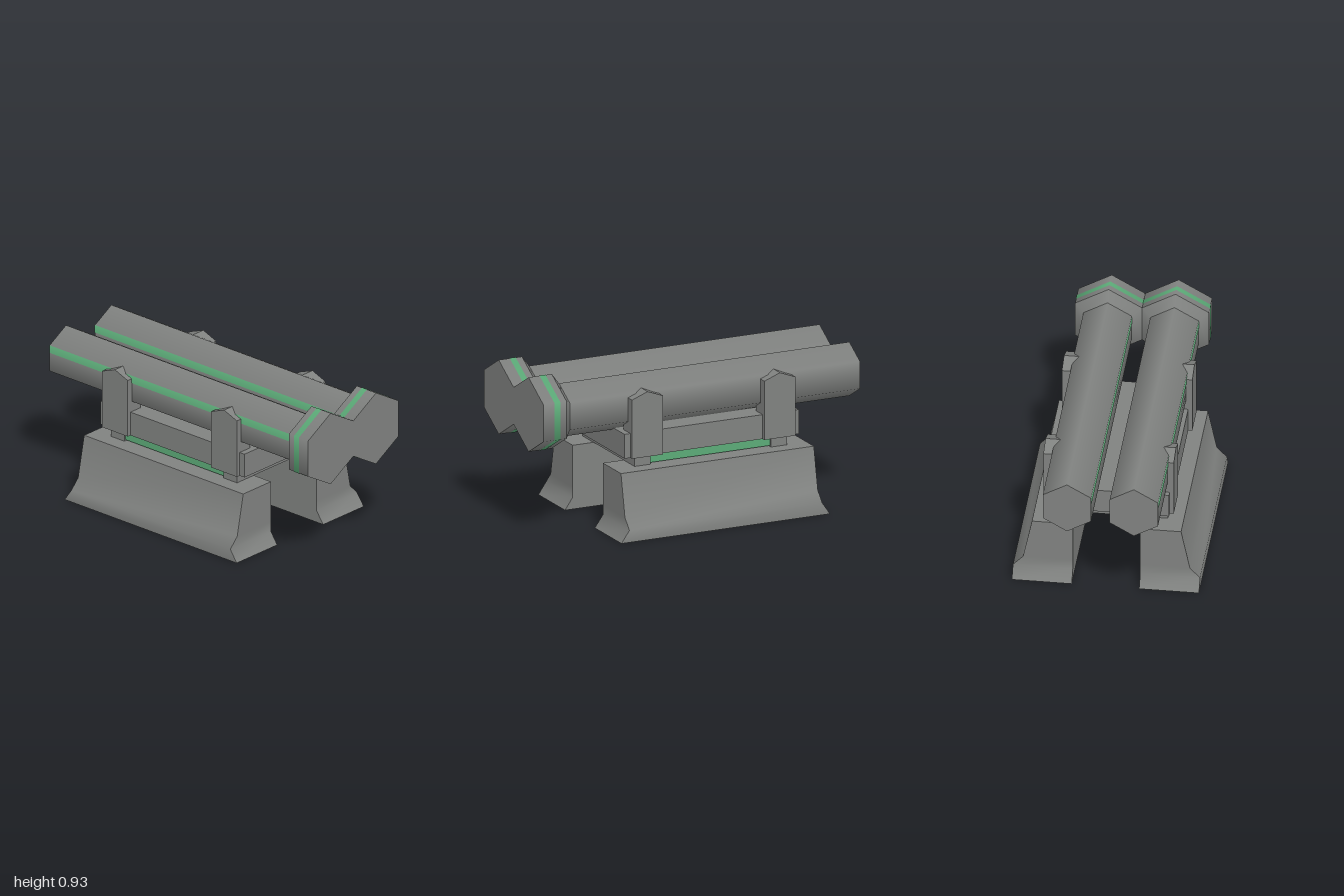
import * as THREE from 'three';
import { toCreasedNormals } from 'three/addons/utils/BufferGeometryUtils.js';

export function createModel() {
  const model = new THREE.Group();
  const grey = new THREE.MeshStandardMaterial({ color: 0x808280, side: THREE.DoubleSide });
  grey.name = 'gunmetal grey';
  const green = new THREE.MeshStandardMaterial({ color: 0x5cab78, side: THREE.DoubleSide });
  green.name = 'signal green';

  function add(parent, name, geometry, material) {
    const mesh = new THREE.Mesh(geometry, material);
    mesh.name = name;
    parent.add(mesh);
    return mesh;
  }
  // Box given by its limits on each axis
  function box(x0, x1, y0, y1, z0, z1) {
    return new THREE.BoxGeometry(x1 - x0, y1 - y0, z1 - z0)
      .translate((x0 + x1) / 2, (y0 + y1) / 2, (z0 + z1) / 2);
  }
  // Hexagonal prism or frustum along x, with a corner on top
  function hex(x0, x1, r0, r1, open = false) {
    return new THREE.CylinderGeometry(r1, r0, x1 - x0, 6, 1, open, Math.PI / 6)
      .rotateZ(-Math.PI / 2).translate((x0 + x1) / 2, 0, 0);
  }
  // Shell open at the bottom from stacked rectangles [y, x0, x1, z0, z1]
  function shell(levels) {
    const positions = [], index = [];
    for (const [y, x0, x1, z0, z1] of levels) {
      positions.push(x0, y, z1, x1, y, z1, x1, y, z0, x0, y, z0);
    }
    for (let l = 0; l < levels.length - 1; l++) {
      for (let i = 0; i < 4; i++) {
        const a = l * 4 + i, b = l * 4 + (i + 1) % 4;
        index.push(a, b, b + 4, a, b + 4, a + 4);
      }
    }
    const t = (levels.length - 1) * 4;
    index.push(t, t + 1, t + 2, t, t + 2, t + 3);
    const g = new THREE.BufferGeometry();
    g.setAttribute('position', new THREE.Float32BufferAttribute(positions, 3));
    g.setIndex(index);
    return toCreasedNormals(g, 0.9);
  }

  // Hollow flared feet, the rear one turned about the centre of the base
  const footShape = shell([
    [0, -0.71, 0.59, 0.19, 0.527],
    [0.07, -0.66, 0.542, 0.19, 0.527],
    [0.13, -0.66, 0.542, 0.19, 0.47],
    [0.373, -0.66, 0.542, 0.19, 0.42],
  ]);
  add(model, 'frontFoot', footShape, grey);
  const rearFoot = add(model, 'rearFoot', footShape, grey);
  rearFoot.rotation.y = Math.PI;
  rearFoot.position.x = -0.118;

  // Cross beams between feet and cradle, with light strips joining their ends
  add(model, 'crossBeamRight', box(-0.537, -0.437, 0.373, 0.432, -0.33, 0.33), grey);
  add(model, 'crossBeamLeft', box(0.313, 0.413, 0.373, 0.432, -0.33, 0.33), grey);
  for (const s of [1, -1]) {
    add(model, 'lightStrip', box(-0.437, 0.313, 0.38, 0.432, -0.003, 0.003)
      .translate(0, 0, s * 0.318), green);
  }

  // Cradle
  add(model, 'cradle', box(-0.603, 0.483, 0.432, 0.574, -0.345, 0.345), grey);

  // Four pointed clamp posts
  const postOutline = new THREE.Shape([
    [-0.097, 0.432], [0.097, 0.432], [0.097, 0.775], [0, 0.812], [-0.097, 0.775],
  ].map(([x, y]) => new THREE.Vector2(x, y)));
  const postShape = new THREE.ExtrudeGeometry(postOutline, { depth: 0.107, bevelEnabled: false });
  for (const x of [-0.475, 0.35]) {
    add(model, 'frontPost', postShape, grey).position.set(x, 0, 0.261);
    add(model, 'rearPost', postShape, grey).position.set(x, 0, -0.367);
  }

  // Painted stripe whose shading follows the rounded barrel
  const stripeShape = new THREE.PlaneGeometry(1.812, 0.046).translate(-0.094, 0.057, 0.138);
  const p = stripeShape.attributes.position;
  for (let i = 0; i < p.count; i++) {
    const n = new THREE.Vector3(0, p.getY(i), p.getZ(i)).normalize();
    stripeShape.attributes.normal.setXYZ(i, n.x, n.y, n.z);
  }

  // Twin hexagonal barrels with wide muzzles
  for (const z of [0.197, -0.18]) {
    const barrel = new THREE.Group();
    barrel.name = z > 0 ? 'frontBarrel' : 'rearBarrel';
    barrel.position.set(0, 0.714, z);
    add(barrel, 'tube', hex(-1, 0.82, 0.157, 0.157), grey);
    add(barrel, 'muzzleTaper', hex(0.81, 0.855, 0.157, 0.217, true), grey);
    add(barrel, 'muzzle', hex(0.855, 1, 0.217, 0.217), grey);
    add(barrel, 'muzzleBand', hex(0.895, 0.932, 0.219, 0.219, true), green);
    add(barrel, 'tubeStripe', stripeShape, green);
    model.add(barrel);
  }
  return model;
}
